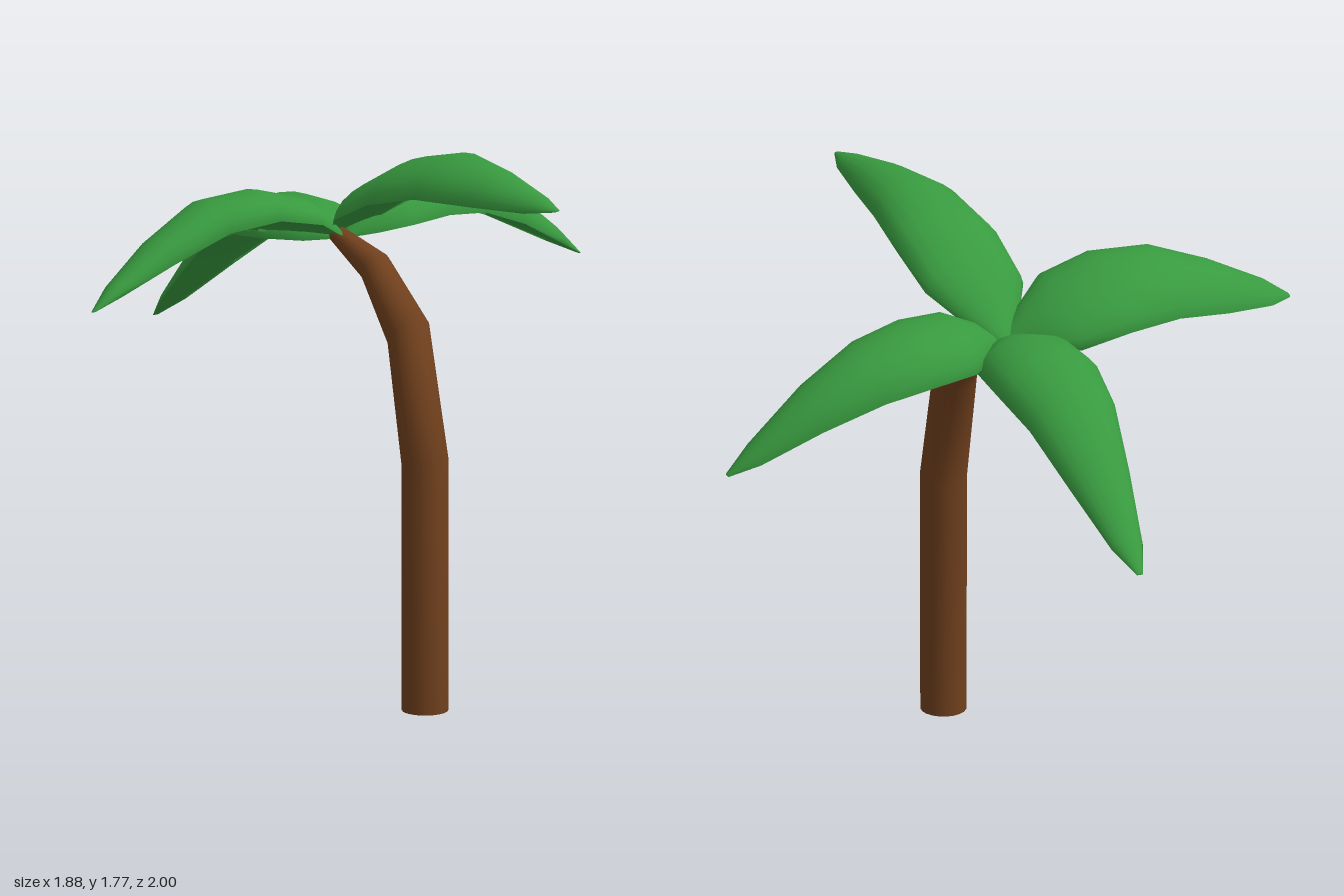
import * as THREE from 'three';
import { mergeVertices, toCreasedNormals } from 'three/addons/utils/BufferGeometryUtils.js';

const SIDE = 10; // segments across one face of a leaf

// Cross-sections shared by all leaves, from base to tip
const STATION = [0, 0.08, 0.18, 0.34, 0.52, 0.72, 0.91, 1];
const WIDTH = [0.04, 0.19, 0.335, 0.35, 0.298, 0.205, 0.105, 0.02];
const ARCH = [0.015, 0.065, 0.095, 0.108, 0.112, 0.092, 0.045, 0.005];

// from/to: span along the axis; sway: sideways bend; heights: midline y per station
const LEAVES = [
  { name: 'rightLeaf', axis: 'x', from: -0.03, to: -0.94, roll: 0, arch: 1,
    sway: [-0.015, 0.0, 0.02],
    heights: [1.41, 1.4, 1.4, 1.385, 1.325, 1.185, 1.045, 0.985] },
  { name: 'leftLeaf', axis: 'x', from: -0.06, to: 0.94, roll: -0.1, arch: 0.95,
    sway: [-0.02, -0.065, -0.11],
    heights: [1.42, 1.465, 1.535, 1.615, 1.66, 1.662, 1.665, 1.675] },
  { name: 'frontLeaf', axis: 'z', from: -0.01, to: 1, roll: 0.26, arch: 1.05,
    sway: [-0.03, -0.105, 0.04],
    heights: [1.41, 1.43, 1.465, 1.5, 1.492, 1.43, 1.37, 1.343] },
  { name: 'backLeaf', axis: 'z', from: -0.03, to: -1, roll: 0.06, arch: 1.15,
    sway: [-0.035, -0.183, -0.128],
    heights: [1.41, 1.42, 1.435, 1.437, 1.41, 1.335, 1.235, 1.19] },
];

// Closed leaf shell: arched top, shallower hollow underneath
function leafGeometry({ axis, from, to, roll, arch, sway, heights }) {
  const n = SIDE * 2, pos = [], index = [];
  STATION.forEach((s, k) => {
    const d = from + (to - from) * s;
    const mid = (1 - s) ** 2 * sway[0] + 2 * s * (1 - s) * sway[1] + s * s * sway[2];
    for (let i = 0; i < n; i++) {
      const angle = (i <= SIDE ? i : n - i) / SIDE * Math.PI;
      const rise = Math.sin(angle) * ARCH[k] * arch * (i <= SIDE ? 1 : 0.25);
      const off = -Math.cos(angle) * WIDTH[k] / 2;
      const y = heights[k] + roll * off + rise;
      if (axis === 'x') pos.push(d, y, mid + off);
      else pos.push(mid + off, y, d);
    }
  });
  const flip = (axis === 'x') === (to > from);
  const tri = (a, b, c) => (flip ? index.push(a, c, b) : index.push(a, b, c));
  const last = (STATION.length - 1) * n;
  for (let r = 0; r < last; r += n) {
    for (let i = 0; i < n; i++) {
      const j = (i + 1) % n;
      tri(r + i, r + n + i, r + j);
      tri(r + j, r + n + i, r + n + j);
    }
  }
  // End caps
  for (let i = 1; i < n - 1; i++) {
    tri(0, i, i + 1);
    tri(last, last + i + 1, last + i);
  }
  const geo = new THREE.BufferGeometry();
  geo.setAttribute('position', new THREE.Float32BufferAttribute(pos, 3));
  geo.setIndex(index);
  geo.computeVertexNormals();
  return geo;
}

// Bent trunk: cylinder rings moved to [x, y, radius, tilt]
function trunkGeometry() {
  const rings = [
    [0.406, 0, 0.072, 0], [0.406, 0.785, 0.073, 0.2], [0.32, 1.18, 0.071, 0.78],
    [0.15, 1.355, 0.052, 1.15], [-0.045, 1.422, 0.028, 1.3]];
  const geo = new THREE.CylinderGeometry(1, 1, 1, 20, rings.length - 1);
  const p = geo.attributes.position;
  for (let i = 0; i < p.count; i++) {
    const [x, y, r, tilt] = rings[Math.round((p.getY(i) + 0.5) * (rings.length - 1))];
    const u = p.getX(i) * r;
    p.setXYZ(i, x + u * Math.cos(tilt), y + u * Math.sin(tilt), p.getZ(i) * r - 0.004);
  }
  geo.deleteAttribute('normal');
  geo.deleteAttribute('uv');
  return toCreasedNormals(mergeVertices(geo), 1.0);
}

export function createModel() {
  const group = new THREE.Group();
  group.name = 'palmTree';
  const add = (name, geometry, material) => {
    const mesh = new THREE.Mesh(geometry, material);
    mesh.name = name;
    group.add(mesh);
  };
  const bark = new THREE.MeshStandardMaterial({ color: 0x70401d });
  const green = new THREE.MeshStandardMaterial({ color: 0x389a3f });
  add('trunk', trunkGeometry(), bark);
  for (const leaf of LEAVES) add(leaf.name, leafGeometry(leaf), green);
  return group;
}
